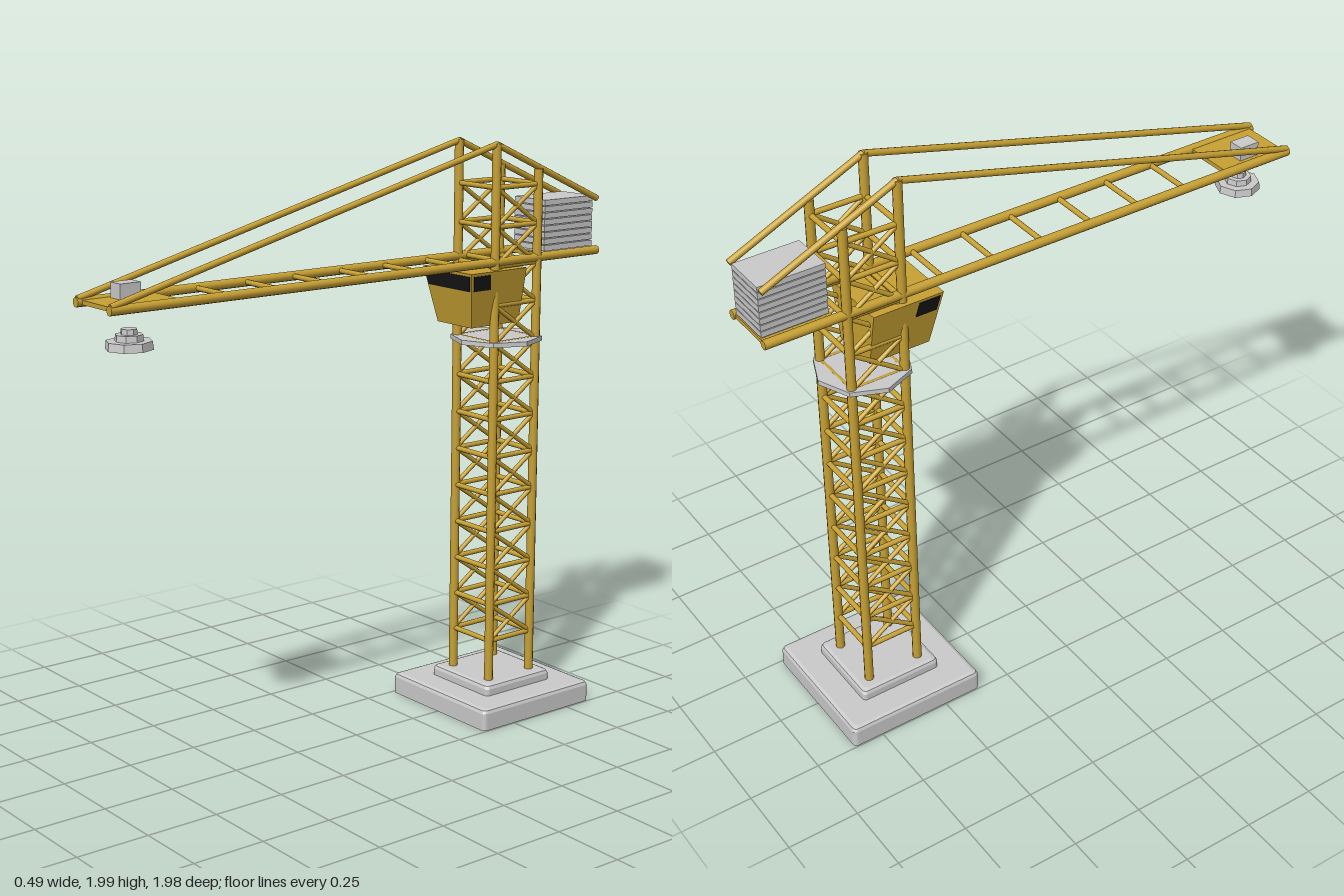
import * as THREE from 'three';

const yellow = new THREE.MeshStandardMaterial({ color: 0xc9a234 });
const grey = new THREE.MeshStandardMaterial({ color: 0xcccccc });
const greyFlat = new THREE.MeshStandardMaterial({ color: 0xcccccc, flatShading: true, side: THREE.DoubleSide });
const black = new THREE.MeshStandardMaterial({ color: 0x161616 });

const MAST_Z = -0.61, FRONT_Z = -0.515, REAR_Z = -0.705, RAIL_X = 0.095, JIB_Y = 1.59;

function add(parent, name, geometry, material) {
  const mesh = new THREE.Mesh(geometry, material);
  mesh.name = name;
  parent.add(mesh);
  return mesh;
}

// Round bar between two points
function bar(parent, name, a, b, r) {
  const p = new THREE.Vector3(...a), q = new THREE.Vector3(...b);
  const dir = q.clone().sub(p);
  const mesh = add(parent, name, new THREE.CylinderGeometry(r, r, dir.length(), 10), yellow);
  mesh.position.copy(p).add(q).multiplyScalar(0.5);
  mesh.quaternion.setFromUnitVectors(new THREE.Vector3(0, 1, 0), dir.normalize());
}

// Box given by its lower and upper corners
function boxGeo(lo, hi) {
  return new THREE.BoxGeometry(hi[0] - lo[0], hi[1] - lo[1], hi[2] - lo[2])
    .translate((lo[0] + hi[0]) / 2, (lo[1] + hi[1]) / 2, (lo[2] + hi[2]) / 2);
}

// Square slab with rounded corners and a rounded top edge, open underneath
function slab(half, y0, y1, bevel) {
  const sections = [[half, y0], [half, y1 - bevel], [half - bevel * 0.3, y1 - bevel * 0.3], [half - bevel, y1]];
  const per = 5, n = per * 4, pos = [], idx = [];
  for (const [h, y] of sections) {
    for (let i = 0; i < n; i++) {
      const corner = Math.floor(i / per);
      const ang = (corner + (i % per) / (per - 1)) * Math.PI / 2;
      const mid = Math.PI / 4 + corner * Math.PI / 2;
      const cx = Math.sign(Math.cos(mid)) * (h - bevel), cz = Math.sign(Math.sin(mid)) * (h - bevel);
      pos.push(cx + bevel * Math.cos(ang), y, cz + bevel * Math.sin(ang));
    }
  }
  const last = (sections.length - 1) * n, centre = sections.length * n;
  pos.push(0, y1, 0);
  for (let i = 0; i < n; i++) {
    const j = (i + 1) % n;
    for (let s = 0; s < last; s += n) idx.push(s + i, s + n + i, s + j, s + j, s + n + i, s + n + j);
    idx.push(last + i, centre, last + j);
  }
  const geo = new THREE.BufferGeometry();
  geo.setAttribute('position', new THREE.Float32BufferAttribute(pos, 3));
  geo.setIndex(idx);
  const flat = geo.toNonIndexed();
  flat.computeVertexNormals();
  return flat;
}

// Cab taper: narrower and set back towards the floor
function taper(geo) {
  const p = geo.attributes.position;
  for (let i = 0; i < p.count; i++) {
    const k = (1.565 - p.getY(i)) / 0.19;
    p.setX(i, p.getX(i) * (1 - 0.3 * k));
    if (p.getZ(i) > -0.55) p.setZ(i, p.getZ(i) - 0.035 * k);
  }
  geo.computeVertexNormals();
  return geo;
}

function group(parent, name) {
  const g = new THREE.Group();
  g.name = name;
  parent.add(g);
  return g;
}

export function createModel() {
  const crane = new THREE.Group();
  crane.name = 'towerCrane';

  // Foundation
  const base = group(crane, 'foundation');
  base.position.z = MAST_Z;
  add(base, 'lowerSlab', slab(0.247, 0, 0.075, 0.015), greyFlat);
  add(base, 'upperSlab', slab(0.148, 0.075, 0.113, 0.015), greyFlat);

  // Mast: four legs, rungs all round, crossed braces on the sides
  const mast = group(crane, 'mast');
  for (const x of [-RAIL_X, RAIL_X]) {
    bar(mast, 'frontLeg', [x, 0.1, FRONT_Z], [x, 1.985, FRONT_Z], 0.0155);
    bar(mast, 'rearLeg', [x, 0.1, REAR_Z], [x, 1.89, REAR_Z], 0.0155);
  }
  const step = 0.132;
  for (let i = 0; i <= 12; i++) {
    const y = 0.255 + i * step;
    for (const z of [FRONT_Z, REAR_Z]) bar(mast, 'rung', [-RAIL_X, y, z], [RAIL_X, y, z], 0.009);
    for (const x of [-RAIL_X, RAIL_X]) {
      bar(mast, 'sideRung', [x, y, FRONT_Z], [x, y, REAR_Z], 0.009);
      if (i === 12) continue;
      bar(mast, 'brace', [x, y, FRONT_Z], [x, y + step, REAR_Z], 0.008);
      bar(mast, 'brace', [x, y, REAR_Z], [x, y + step, FRONT_Z], 0.008);
    }
  }

  // Octagonal platform below the cab
  add(crane, 'platform', new THREE.CylinderGeometry(0.157, 0.157, 0.016, 8), greyFlat)
    .position.set(0, 1.31, MAST_Z);

  // Cab with front and side windows
  const cab = group(crane, 'cab');
  add(cab, 'cabBody', taper(boxGeo([-0.124, 1.375, -0.632], [0.124, 1.565, -0.385])), yellow);
  add(cab, 'frontWindow', taper(boxGeo([-0.116, 1.503, -0.4], [0.116, 1.555, -0.382])), black);
  for (const s of [-1, 1]) {
    const lo = Math.min(s * 0.11, s * 0.127), hi = Math.max(s * 0.11, s * 0.127);
    add(cab, 'sideWindow', taper(boxGeo([lo, 1.503, -0.468], [hi, 1.555, -0.395])), black);
  }

  // Jib: two rails, cross bars, tip and rear plates
  const jib = group(crane, 'jib');
  for (const x of [-RAIL_X, RAIL_X]) {
    bar(jib, 'rail', [x, JIB_Y, -0.985], [x, JIB_Y, 0.99], 0.0155);
    bar(jib, 'frontTie', [x, 1.982, FRONT_Z], [x, 1.6, 0.985], 0.011);
    bar(jib, 'rearTie', [x, 1.982, FRONT_Z], [x, 1.77, -0.98], 0.011);
  }
  for (const z of [0.56, 0.373, 0.188, 0, -0.182, -0.365, -0.55, -0.767])
    bar(jib, 'crossBar', [-RAIL_X, JIB_Y, z], [RAIL_X, JIB_Y, z], 0.009);
  add(jib, 'tipPlate', boxGeo([-0.09, 1.583, 0.73], [0.09, 1.597, 0.975]), yellow);
  add(jib, 'rearPlate', boxGeo([-0.09, 1.583, -0.98], [0.09, 1.597, -0.745]), yellow);

  // Counterweight: stacked slabs with thin grooves between
  const weight = group(crane, 'counterweight');
  add(weight, 'core', boxGeo([-0.07, 1.597, -0.973], [0.07, 1.775, -0.762]), grey);
  for (let i = 0; i < 8; i++) {
    const y = 1.603 + i * 0.0222;
    add(weight, 'weightSlab', boxGeo([-0.076, y, -0.98], [0.076, y + 0.019, -0.755]), grey);
  }

  // Winch block on the tip plate and stepped hook block beneath it
  add(crane, 'winch', boxGeo([-0.068, 1.597, 0.81], [-0.014, 1.645, 0.884]), grey);
  const hook = group(crane, 'hookBlock');
  hook.position.z = 0.865;
  for (const [r, y0, y1] of [[0.075, 1.448, 1.474], [0.045, 1.474, 1.494], [0.026, 1.494, 1.511]]) {
    add(hook, 'hookTier', new THREE.CylinderGeometry(r * 0.96, r, y1 - y0, 8), greyFlat)
      .position.y = (y0 + y1) / 2;
  }
  return crane;
}
